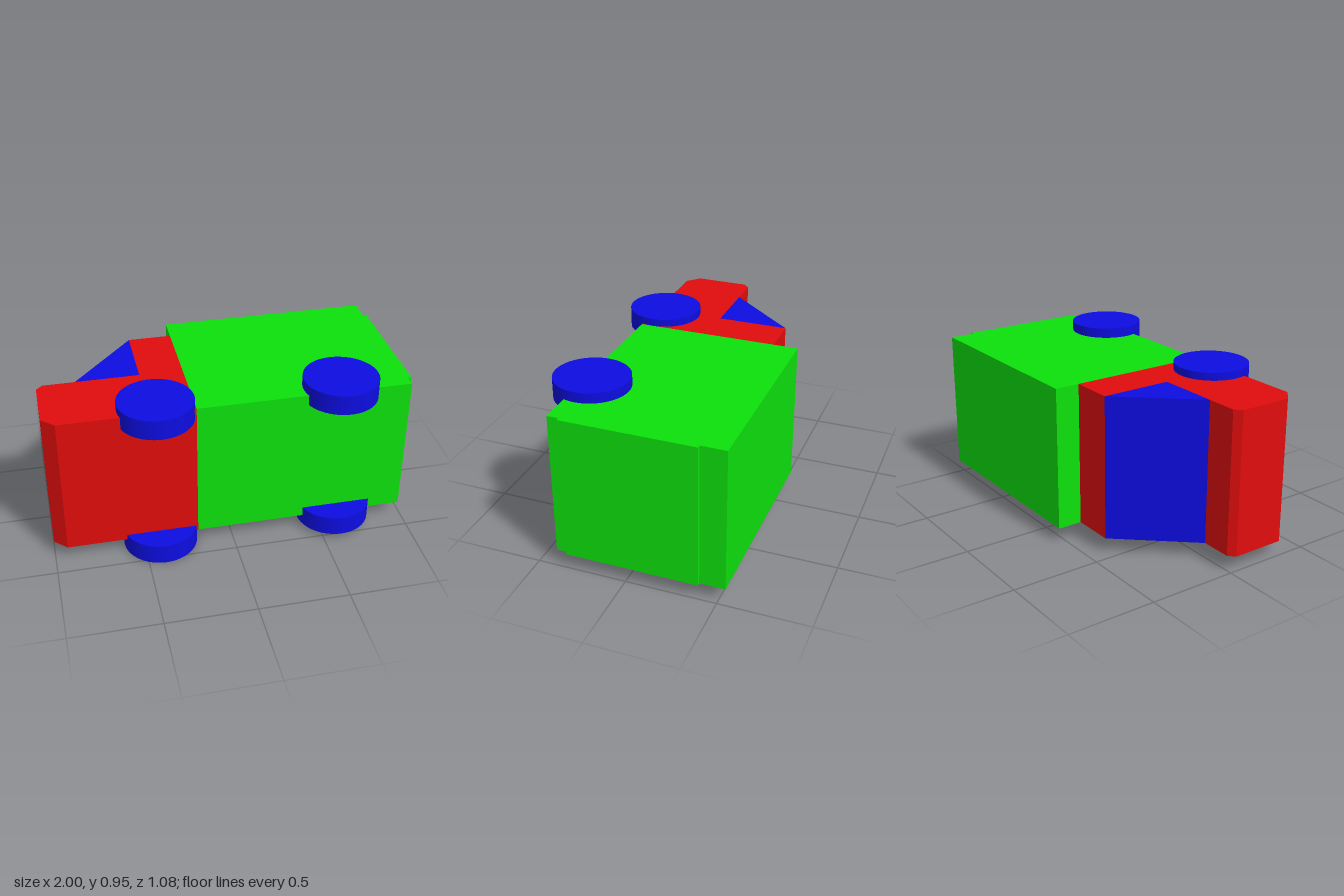
import * as THREE from 'three';

// A toy truck lying on its side: side profiles in x/z, extruded upward in y.
const BOTTOM = 0.085, TOP = 0.89;

export function createModel() {
  const truck = new THREE.Group();
  truck.name = 'truck';
  const red = new THREE.MeshStandardMaterial({ color: 0xe00d0d });
  const green = new THREE.MeshStandardMaterial({ color: 0x0de00d });
  const blue = new THREE.MeshStandardMaterial({ color: 0x0d0de0 });

  // Extrudes an [x, z] outline over the width of the truck
  function addProfile(name, points, material) {
    const shape = new THREE.Shape(points.map(([x, z]) => new THREE.Vector2(x, -z)));
    const geometry = new THREE.ExtrudeGeometry(shape, { depth: TOP - BOTTOM, bevelEnabled: false });
    geometry.rotateX(-Math.PI / 2).translate(0, BOTTOM, 0);
    const mesh = new THREE.Mesh(geometry, material);
    mesh.name = name;
    truck.add(mesh);
  }

  // Cab with hood and bevelled nose
  addProfile('cab', [
    [-0.2, 0.4], [-0.2, -0.4], [-0.44, -0.4], [-0.44, 0], [-0.965, 0],
    [-1, 0.035], [-1, 0.335], [-0.93, 0.4],
  ], red);

  // Sloping windscreen wedge
  addProfile('windscreen', [[-0.44, 0], [-0.44, -0.4], [-0.79, 0]], blue);

  // Cargo box with a raised rear door
  addProfile('cargoBox', [
    [-0.2, 0.4], [0.98, 0.4], [0.98, 0.335], [1, 0.335],
    [1, -0.4], [0.98, -0.4], [0.98, -0.54], [-0.2, -0.54],
  ], green);

  // Wheels: [name, x, lower y, upper y]
  const wheels = [
    ['frontWheelLower', -0.405, 0, 0.115],
    ['frontWheelUpper', -0.405, 0.82, 0.933],
    ['rearWheelLower', 0.6, 0.028, 0.14],
    ['rearWheelUpper', 0.6, 0.833, 0.947],
  ];
  for (const [name, x, low, high] of wheels) {
    const wheel = new THREE.Mesh(new THREE.CylinderGeometry(0.206, 0.206, high - low, 64), blue);
    wheel.position.set(x, (low + high) / 2, 0.333);
    wheel.name = name;
    truck.add(wheel);
  }

  return truck;
}
